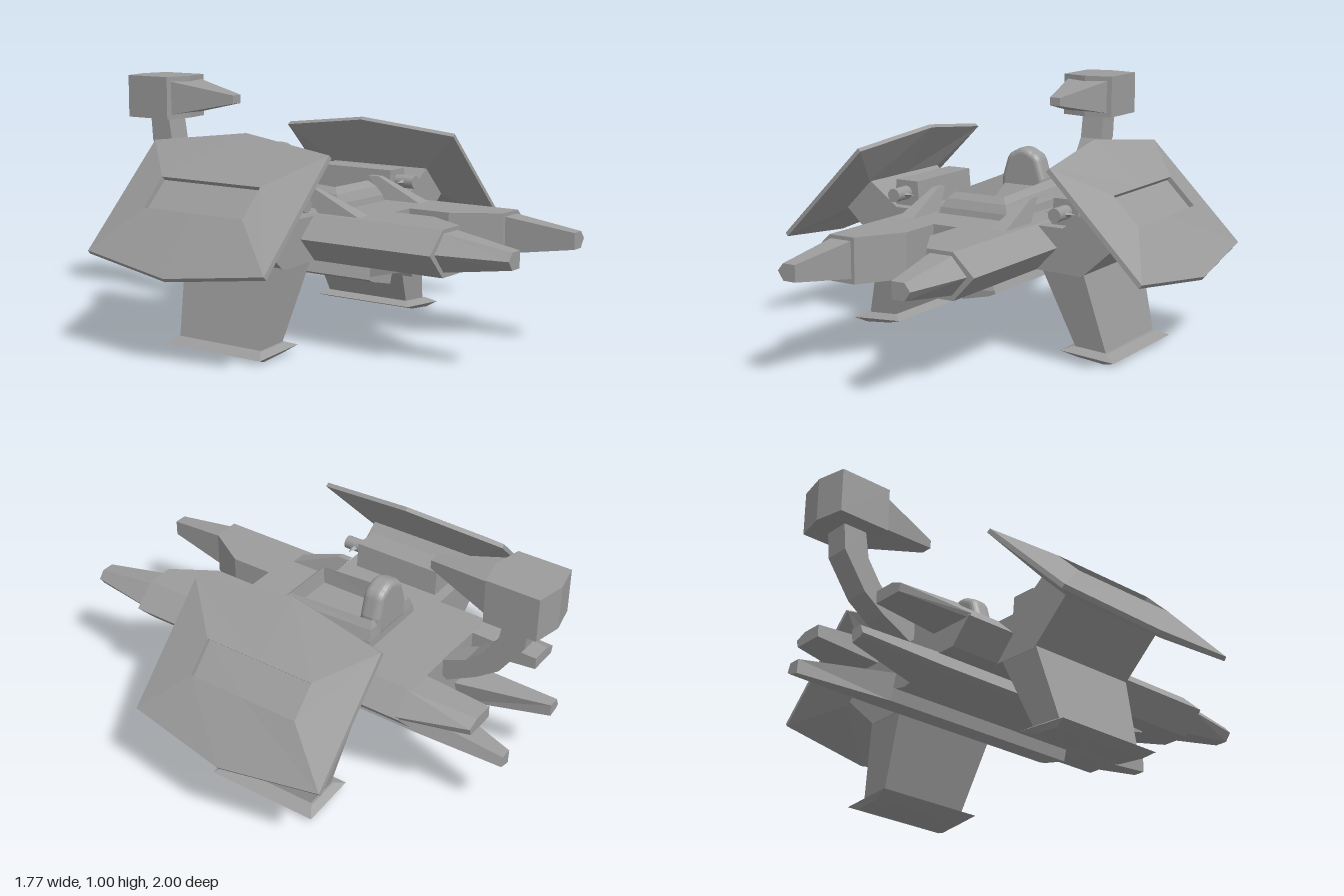
import * as THREE from 'three';

const GREY = 0x9c9c9c;
const material = new THREE.MeshStandardMaterial({ color: GREY, flatShading: true });
const smooth = new THREE.MeshStandardMaterial({ color: GREY });

// Skin a row of equal-length point loops and cap both ends; corners are ordered outward by volume.
function loft(sections) {
  const tris = [];
  const n = sections[0].length;
  for (let i = 0; i < sections.length - 1; i++) {
    const a = sections[i], b = sections[i + 1];
    for (let j = 0; j < n; j++) {
      const k = (j + 1) % n;
      tris.push([a[j], a[k], b[k]], [a[j], b[k], b[j]]);
    }
  }
  const first = sections[0], last = sections[sections.length - 1];
  for (let j = 1; j < n - 1; j++) {
    tris.push([first[0], first[j + 1], first[j]], [last[0], last[j], last[j + 1]]);
  }
  let volume = 0;
  for (const [a, b, c] of tris) {
    volume += new THREE.Vector3(...a).dot(new THREE.Vector3(...b).cross(new THREE.Vector3(...c)));
  }
  const ordered = volume < 0 ? tris.map(([a, b, c]) => [a, c, b]) : tris;
  const geometry = new THREE.BufferGeometry();
  geometry.setAttribute('position', new THREE.Float32BufferAttribute(ordered.flat(2), 3));
  geometry.computeVertexNormals();
  return geometry;
}

// Section helpers: a loop of [x, y] at depth z, and rectangles facing z or y.
const atZ = (z, points) => points.map(([x, y]) => [x, y, z]);
const rectZ = (z, x0, x1, y0, y1) => atZ(z, [[x0, y0], [x1, y0], [x1, y1], [x0, y1]]);
const rectY = (y, x0, x1, z0, z1, tilt = 0) =>
  [[x0, y, z0], [x1, y - tilt, z0], [x1, y - tilt, z1], [x0, y, z1]];

export function createModel() {
  const model = new THREE.Group();
  const add = (name, geometry, mat = material) => {
    const mesh = new THREE.Mesh(geometry, mat);
    mesh.name = name;
    model.add(mesh);
    return mesh;
  };
  const part = (name, sections) => add(name, loft(sections));
  const pair = (name, sections) => {
    for (const s of [1, -1]) {
      part((s > 0 ? 'left ' : 'right ') + name,
        sections.map(loop => loop.map(([x, y, z]) => [s * x, y, z])));
    }
  };

  // Central hull with chevron sides and shallow keel
  const hull = [[-0.28, 0.525], [0.28, 0.525], [0.37, 0.44], [0.28, 0.345], [0.16, 0.345],
    [0.05, 0.285], [0, 0.275], [-0.05, 0.285], [-0.16, 0.345], [-0.28, 0.345], [-0.37, 0.44]];
  part('hull', [atZ(0.36, hull), atZ(-0.56, hull)]);

  // Front pods, chamfered on their inner side, and their noses
  const pod = (z, inner) => atZ(z,
    [[inner, 0.525], [0.28, 0.525], [0.37, 0.44], [0.28, 0.345], [inner, 0.345]]);
  pair('front pod', [pod(0.36, 0.055), pod(0.54, 0.055), pod(0.72, 0.165)]);
  pair('nose', [
    atZ(0.72, [[0.18, 0.51], [0.275, 0.51], [0.34, 0.44], [0.275, 0.365], [0.18, 0.365]]),
    atZ(1, [[0.215, 0.47], [0.27, 0.47], [0.295, 0.44], [0.27, 0.405], [0.215, 0.405]])]);
  pair('chin', [rectZ(0.54, 0.06, 0.2, 0.34, 0.36), rectZ(0.36, 0.06, 0.22, 0.295, 0.36)]);

  // Rear pods
  pair('rear pod', [
    atZ(-0.55, [[0.17, 0.525], [0.29, 0.525], [0.37, 0.45], [0.36, 0.435], [0.17, 0.435]]),
    atZ(-0.84, [[0.18, 0.51], [0.27, 0.51], [0.32, 0.49], [0.31, 0.46], [0.18, 0.46]])]);

  // Lower beams ending in splayed prongs
  const beam = [[0.05, 0.35], [0.2, 0.35], [0.23, 0.285], [0.2, 0.272], [0.08, 0.245]];
  pair('lower beam', [
    atZ(0.36, beam), atZ(-0.56, beam),
    atZ(-0.93, [[0.165, 0.33], [0.215, 0.33], [0.23, 0.295], [0.215, 0.285], [0.17, 0.275]])]);

  // Side arms: a level root, then a slab rising to the back of the shield
  pair('arm root', [0.14, -0.34].map(z => atZ(z,
    [[0.25, 0.345], [0.25, 0.52], [0.435, 0.52], [0.5, 0.45], [0.48, 0.338]])));
  pair('shield arm', [0.14, -0.34].map(z => atZ(z,
    [[0.3, 0.45], [0.43, 0.52], [0.525, 0.615], [0.665, 0.505], [0.48, 0.338]])));

  // Legs and feet
  pair('leg', [rectY(0.36, 0.3, 0.485, -0.34, 0.14), rectY(0.035, 0.44, 0.57, -0.3, 0.1)]);
  pair('foot', [
    rectY(0.012, 0.455, 0.575, -0.32, 0.12, 0.012),
    rectY(0.033, 0.388, 0.625, -0.34, 0.14, 0.017),
    rectY(0.048, 0.43, 0.58, -0.31, 0.11, 0.01)]);

  // Tilted six-sided shields: u runs down the slope, d outward, with a sunken slot
  const S = Math.SQRT1_2;
  const place = (u, d, z) => [0.635 + (u + d) * S, 0.585 + (d - u) * S, z - 0.1];
  const rim = (d, k = 1) => [[-0.277, 0.43], [-0.348, 0], [-0.277, -0.43], [0.277, -0.43], [0.348, 0], [0.277, 0.43]]
    .map(([u, z]) => place(u * k, d, z * k));
  const slot = (d, hu, hz) => [[-hu, hz], [-hu, 0], [-hu, -hz], [hu, -hz], [hu, 0], [hu, hz]]
    .map(([u, z]) => place(u, d, z));
  pair('shield', [slot(-0.055, 0.1, 0.25), rim(-0.012), rim(0.006, 0.995),
    slot(0.045, 0.075, 0.24), slot(0.025, 0.075, 0.24)]);

  // Upright fins swept back
  pair('fin', [rectY(0.52, 0.18, 0.252, 0.14, 0.335), rectY(0.615, 0.207, 0.234, 0.06, 0.11)]);

  // Small side guns
  pair('gun housing', [0.09, -0.295].map(z => atZ(z,
    [[0.315, 0.515], [0.44, 0.515], [0.43, 0.625], [0.325, 0.625]])));
  for (const s of [1, -1]) {
    const barrel = add('gun barrel', new THREE.CylinderGeometry(0.028, 0.028, 0.1, 16).rotateX(Math.PI / 2), smooth);
    barrel.position.set(s * 0.38, 0.575, 0.13);
    const flare = add('gun flare', new THREE.OctahedronGeometry(1).scale(0.068, 0.018, 0.025));
    flare.position.set(s * 0.38, 0.575, 0.13);
  }

  // Open cockpit tub with a rounded wall, slightly higher at the back, and a sunken floor
  const tub = (hx, z0, z1, y0, y1) => [[-hx, y0, z0], [hx, y0, z0], [hx, y1, z1], [-hx, y1, z1]];
  part('cockpit tub', [
    tub(0.165, -0.29, 0.17, 0.515, 0.515),
    tub(0.157, -0.288, 0.163, 0.56, 0.55),
    tub(0.138, -0.282, 0.145, 0.603, 0.585),
    tub(0.115, -0.27, 0.12, 0.63, 0.61),
    tub(0.108, -0.25, 0.112, 0.54, 0.54)]);

  // Rounded headrest with broad shoulders, and the sloping seat back below it
  const head = new THREE.Shape();
  head.moveTo(-0.105, 0.54);
  head.lineTo(-0.103, 0.63);
  head.lineTo(-0.08, 0.705);
  head.quadraticCurveTo(-0.07, 0.73, -0.045, 0.738);
  head.quadraticCurveTo(0, 0.77, 0.045, 0.738);
  head.quadraticCurveTo(0.07, 0.73, 0.08, 0.705);
  head.lineTo(0.103, 0.63);
  head.lineTo(0.105, 0.54);
  const headrest = new THREE.ExtrudeGeometry(head, {
    depth: 0.03, bevelThickness: 0.03, bevelSize: 0.025, bevelOffset: -0.025, bevelSegments: 5, curveSegments: 8 });
  add('headrest', headrest, smooth).position.z = -0.26;
  part('seat back', [rectY(0.535, -0.105, 0.105, -0.24, -0.14), rectY(0.6, -0.08, 0.08, -0.24, -0.195)]);

  // Curved tail arm: centre line with half thickness along its lean
  const bend = [[-0.5, 0.5, -0.58, 0.44], [-0.66, 0.57, -0.71, 0.51], [-0.73, 0.63, -0.8, 0.575],
    [-0.79, 0.72, -0.9, 0.72], [-0.81, 0.84, -0.91, 0.84]];
  part('tail arm', bend.map(([z0, y0, z1, y1]) =>
    [[-0.052, y0, z0], [0.052, y0, z0], [0.052, y1, z1], [-0.052, y1, z1]]));

  // Tail cannon: housing pointed front and back, with a tapering barrel
  part('tail cannon housing', [0.825, 1.005].map(y =>
    [[0, -0.73], [0.12, -0.755], [0.12, -0.975], [0, -1], [-0.12, -0.975], [-0.12, -0.755]]
      .map(([x, z]) => [x, y, z])));
  part('tail cannon barrel', [rectZ(-0.77, -0.103, 0.103, 0.84, 0.988), rectZ(-0.47, -0.025, 0.025, 0.9, 0.935)]);

  return model;
}
